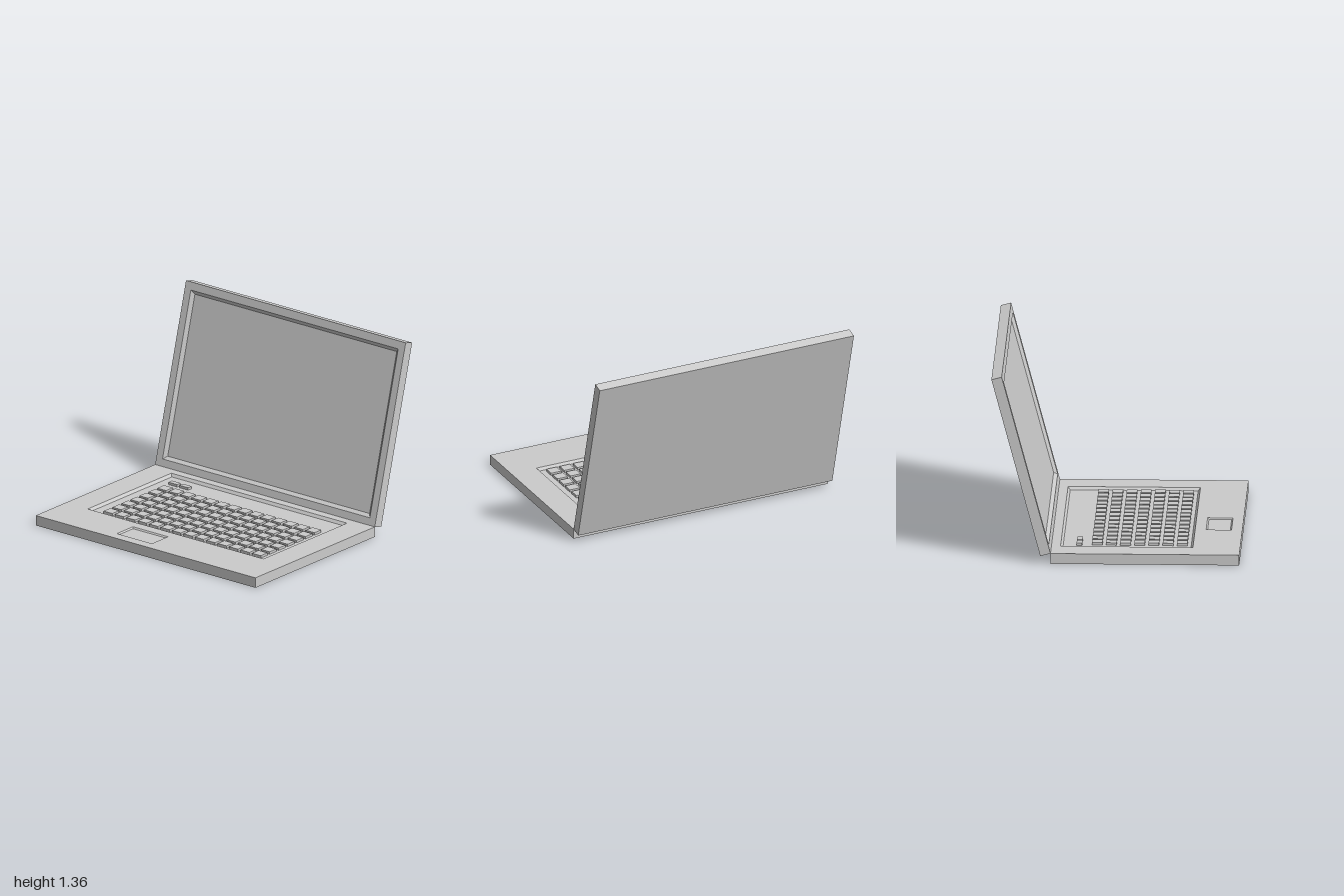
import * as THREE from 'three';

const material = new THREE.MeshStandardMaterial({ color: 0xcccccc, flatShading: true });
const THICK = 0.075;

// counter-clockwise corners of rect [x0, y0, x1, y1], inset by m, at height z
function corners([x0, y0, x1, y1], z, m = 0) {
  return [[x0 + m, y0 + m, z], [x1 - m, y0 + m, z], [x1 - m, y1 - m, z], [x0 + m, y1 - m, z]];
}

function quadGeometry(quads) {
  const positions = quads.flatMap(([a, b, c, d]) => [a, b, c, a, c, d]).flat();
  const geometry = new THREE.BufferGeometry();
  geometry.setAttribute('position', new THREE.Float32BufferAttribute(positions, 3));
  geometry.computeVertexNormals();
  return geometry;
}

// four walls joining loop a to loop b
function walls(a, b) {
  return a.map((p, i) => {
    const j = (i + 1) % 4;
    return [p, a[j], b[j], b[i]];
  });
}

function addMesh(group, name, geometry) {
  const mesh = new THREE.Mesh(geometry, material);
  mesh.name = name;
  group.add(mesh);
  return mesh;
}

// slab with its face at z = 0 and sunken areas with sloping walls
function makePanel(name, rect, recesses) {
  const group = new THREE.Group();
  group.name = name;
  const back = corners(rect, -THICK);
  addMesh(group, name + 'Shell', quadGeometry([...walls(back, corners(rect, 0)), [...back].reverse()]));

  const toPoints = (r) => corners(r, 0).map(([x, y]) => new THREE.Vector2(x, y));
  const face = new THREE.Shape(toPoints(rect));
  for (const recess of recesses) {
    face.holes.push(new THREE.Path(toPoints(recess.rect).reverse()));
    const floor = corners(recess.rect, -recess.depth, recess.slope);
    addMesh(group, recess.name, quadGeometry([...walls(corners(recess.rect, 0), floor), floor]));
  }
  addMesh(group, name + 'Face', new THREE.ShapeGeometry(face));
  return group;
}

export function createModel() {
  const model = new THREE.Group();
  model.name = 'laptop';

  // base, modelled upright and laid flat (local y = -z)
  const keyWell = 0.02;
  const base = makePanel('base', [-1, -0.873, 1, 0.459], [
    { name: 'keyboardWell', rect: [-0.8, -0.54, 0.8, 0.395], depth: keyWell, slope: 0.016 },
    { name: 'touchpad', rect: [-0.325, -0.797, -0.005, -0.617], depth: 0.01, slope: 0.01 },
  ]);
  base.rotation.x = -Math.PI / 2;
  base.position.y = THICK;
  model.add(base);

  // keys
  const keys = new THREE.Group();
  keys.name = 'keys';
  base.add(keys);
  const keyHeight = 0.018;
  const addKey = (name, x, z, w, d) => {
    const key = addMesh(keys, name, new THREE.BoxGeometry(w, d, keyHeight));
    key.position.set(x, -z, -keyWell + keyHeight / 2);
  };
  for (let row = 0; row < 7; row++) {
    for (let col = 0; col < 14; col++) {
      addKey('key', -0.65 + col * 0.104, -0.14 + row * 0.1, 0.08, 0.075);
    }
  }
  for (const x of [-0.665, -0.565]) addKey('smallButton', x, -0.265, 0.08, 0.04);

  // lid, hinged on the back top edge of the base
  const lid = makePanel('lid', [-1, 0, 1, 1.332], [
    { name: 'screen', rect: [-0.944, 0.053, 0.944, 1.275], depth: 0.022, slope: 0.025 },
  ]);
  lid.rotation.x = -THREE.MathUtils.degToRad(15);
  lid.position.set(0, THICK, -0.459);
  model.add(lid);

  return model;
}
